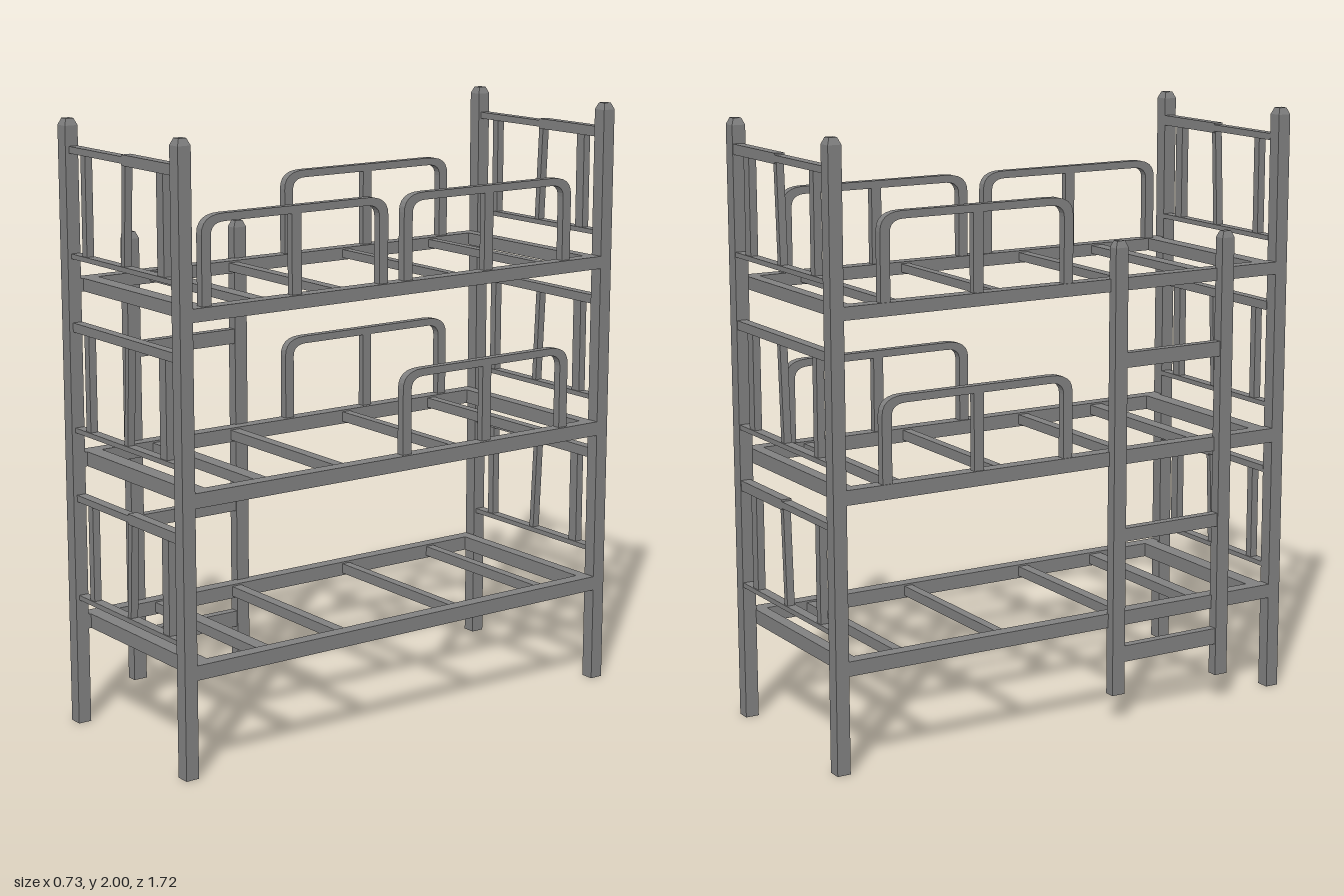
import * as THREE from 'three';
import { mergeGeometries } from 'three/addons/utils/BufferGeometryUtils.js';

const steel = new THREE.MeshStandardMaterial({ color: 0x808080 });
steel.name = 'grey steel';

function add(parent, name, geometry) {
  const mesh = new THREE.Mesh(geometry, steel);
  mesh.name = name;
  parent.add(mesh);
  return mesh;
}

// Box given by its limits on each axis
function bar(parent, name, x0, x1, y0, y1, z0, z1) {
  const mesh = add(parent, name, new THREE.BoxGeometry(x1 - x0, y1 - y0, z1 - z0));
  mesh.position.set((x0 + x1) / 2, (y0 + y1) / 2, (z0 + z1) / 2);
  return mesh;
}

// Square upright with a chamfered top
function upright(parent, name, x, z, y0, y1, wx, wz) {
  const cap = 0.022;
  const shaft = new THREE.BoxGeometry(wx, y1 - y0 - cap, wz);
  shaft.translate(0, (y0 + y1 - cap) / 2, 0);
  const top = new THREE.CylinderGeometry(Math.SQRT1_2 * 0.6, Math.SQRT1_2, cap, 4);
  top.rotateY(Math.PI / 4);
  top.scale(wx, 1, wz);
  top.translate(0, y1 - cap / 2, 0);
  const mesh = add(parent, name, mergeGeometries([shaft, top].map((g) => {
    const flat = g.toNonIndexed();
    flat.computeVertexNormals();
    return flat;
  })));
  mesh.position.set(x, 0, z);
}

// Round-cornered arch outline, from one foot to the other
function arch(path, a, b, y0, y1, rx, ry) {
  path.moveTo(a, y0);
  path.lineTo(a, y1 - ry);
  path.quadraticCurveTo(a, y1, a + rx, y1);
  path.lineTo(b - rx, y1);
  path.quadraticCurveTo(b, y1, b, y1 - ry);
  path.lineTo(b, y0);
  return path;
}

// Guard hoop with a middle stay, lying along z
function guard(parent, x, z0, z1, y) {
  const group = new THREE.Group();
  group.name = 'guardRail';
  const leg = 0.034, thick = 0.025, h = 0.28, depth = 0.028;
  const shape = arch(new THREE.Shape(), -z1, -z0, 0, h, 0.08, 0.06);
  const a = -z1 + leg, b = -z0 - leg, top = h - thick;
  shape.lineTo(b, 0);
  shape.lineTo(b, top - 0.04);
  shape.quadraticCurveTo(b, top, b - 0.05, top);
  shape.lineTo(a + 0.05, top);
  shape.quadraticCurveTo(a, top, a, top - 0.04);
  shape.lineTo(a, 0);
  shape.closePath();
  const geo = new THREE.ExtrudeGeometry(shape, { depth, bevelEnabled: false, curveSegments: 6 });
  geo.rotateY(Math.PI / 2);
  geo.translate(x - depth / 2, y, 0);
  add(group, 'guardHoop', geo);
  const m = (z0 + z1) / 2;
  bar(group, 'guardStay', x - 0.012, x + 0.012, y, y + top, m - 0.018, m + 0.018);
  parent.add(group);
}

// Head or foot panel: two bars and three slats, the middle one leaning
function endPanel(parent, z, low, high, split) {
  const group = new THREE.Group();
  group.name = 'endPanel';
  const d = 0.017, mid = 0.02;
  bar(group, 'lowerBar', -0.295, 0.32, low - 0.008, low + 0.008, z - d, z + d);
  const thin = split ? 0.011 : 0.015, wide = split ? 0.017 : 0.015;
  bar(group, 'upperBar', -0.295, mid, high - thin, high + thin, z - d, z + d);
  bar(group, 'upperBar', mid, 0.32, high - wide, high + wide, z - d, z + d);
  bar(group, 'slat', -0.23, -0.203, low, high, z - 0.013, z + 0.013);
  bar(group, 'slat', 0.213, 0.25, low, high, z - 0.013, z + 0.013);
  bar(group, 'leaningSlat', 0.01, 0.03, low, high, z - 0.013, z + 0.013).rotation.z = -0.05;
  parent.add(group);
}

export function createModel() {
  const bed = new THREE.Group();
  bed.name = 'tripleBunkBed';
  const XL = 0.339, XR = -0.316, W = 0.046;

  // Corner posts
  for (const x of [XL, XR])
    for (const z of [0.837, -0.837]) upright(bed, 'cornerPost', x, z, 0, 2, W, W);

  // Three bed frames with cross slats
  const slats = [[-0.626, -0.594], [-0.251, -0.22], [0.21, 0.247], [0.508, 0.556]];
  for (const y of [0.321, 0.87, 1.446]) {
    const frame = new THREE.Group();
    frame.name = 'bedFrame';
    const top = y + (y > 1 ? 0.042 : 0.048);
    for (const x of [XL, XR])
      bar(frame, 'sideRail', x - W / 2, x + W / 2, y, top, -0.815, 0.815);
    bar(frame, 'headRail', -0.295, 0.318, y, top, -0.815, -0.774);
    bar(frame, 'footRail', -0.295, 0.318, y, top, 0.75, 0.805);
    for (const [a, b] of slats)
      bar(frame, 'crossSlat', -0.295, 0.318, y + 0.008, top - 0.006, a, b);
    bed.add(frame);
  }

  // End panels of each tier, front and back
  const front = 0.83, back = -0.841;
  endPanel(bed, front, 0.432, 0.768, true);
  endPanel(bed, back, 0.46, 0.799, true);
  for (const z of [front, back]) {
    endPanel(bed, z, 0.995, 1.333, false);
    endPanel(bed, z, 1.563, 1.902, true);
  }

  // Guard hoops
  const gl = 0.336, gr = -0.322;
  for (const y of [0.915, 1.486])
    for (const x of [gl, gr]) guard(bed, x, -0.686, 0.01, y);
  guard(bed, gl, 0.073, 0.773, 1.486);

  // Ladder on the right side
  const ladder = new THREE.Group();
  ladder.name = 'ladder';
  for (const z of [0.596, 0.177]) upright(ladder, 'ladderPost', -0.349, z, 0.092, 1.613, 0.037, 0.048);
  for (const [a, b] of [[0.202, 0.257], [0.615, 0.66], [1.197, 1.247]])
    bar(ladder, 'rung', -0.364, -0.334, a, b, 0.19, 0.585);
  bed.add(ladder);

  return bed;
}
